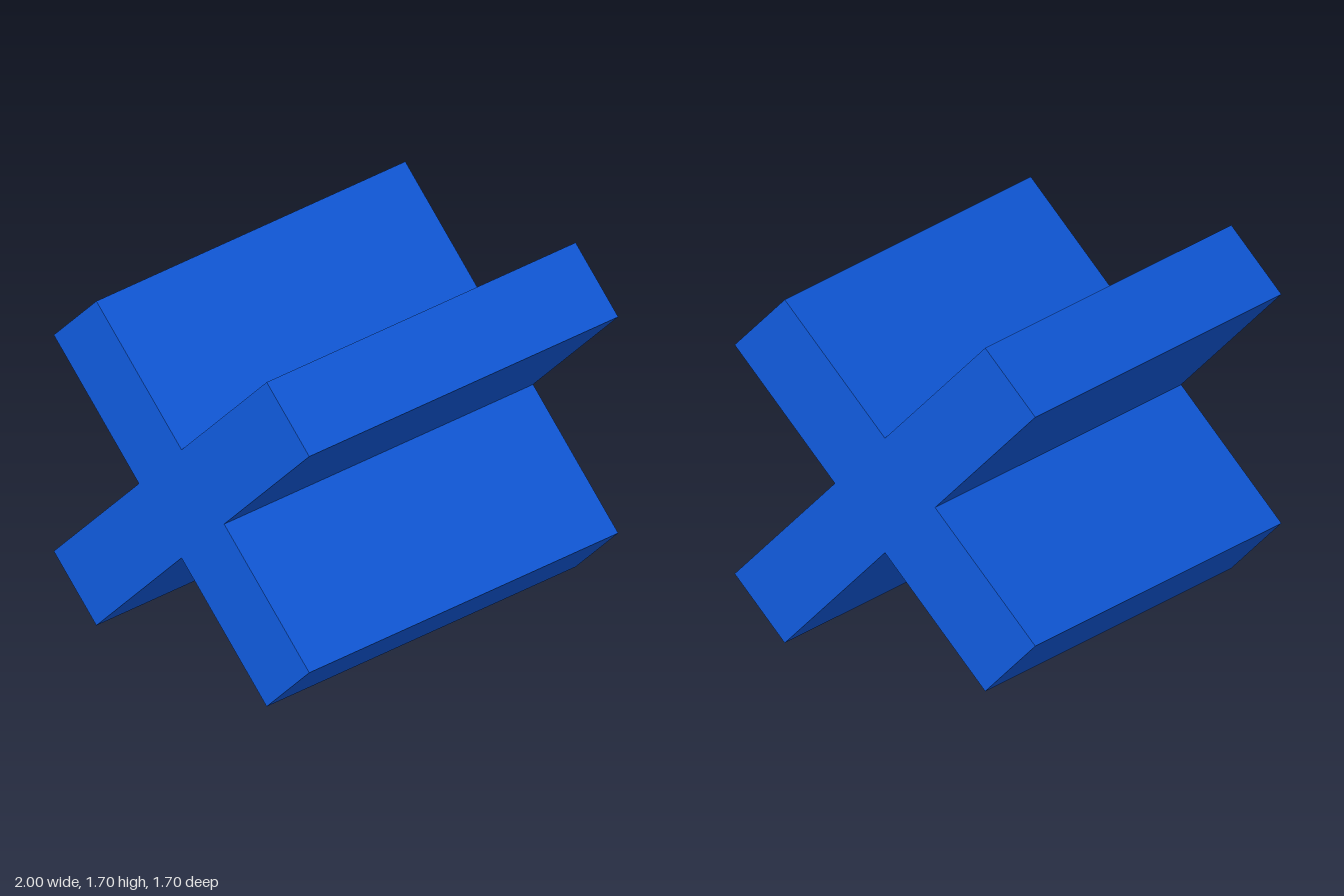
import * as THREE from 'three';

export function createModel() {
  const group = new THREE.Group();
  group.name = 'crossBlock';

  const blue = new THREE.MeshStandardMaterial({ color: 0x105add, flatShading: true });
  blue.name = 'blue';

  const reach = 1; // centre to arm end
  const half = 0.2; // half the arm thickness
  const length = 2;

  // Plus-shaped outline: the same three corners turned through four quarters
  const points = [];
  for (let i = 0; i < 4; i++) {
    for (const [x, y] of [[reach, -half], [reach, half], [half, half]]) {
      points.push(new THREE.Vector2(x, y).rotateAround(new THREE.Vector2(), i * Math.PI / 2 + Math.PI / 4));
    }
  }

  // Extruded along x, standing on two arm corners
  const geometry = new THREE.ExtrudeGeometry(new THREE.Shape(points), { depth: length, bevelEnabled: false });
  geometry.translate(0, (reach + half) * Math.SQRT1_2, -length / 2);
  geometry.rotateY(Math.PI / 2);

  const cross = new THREE.Mesh(geometry, blue);
  cross.name = 'crossBeam';
  group.add(cross);
  return group;
}
